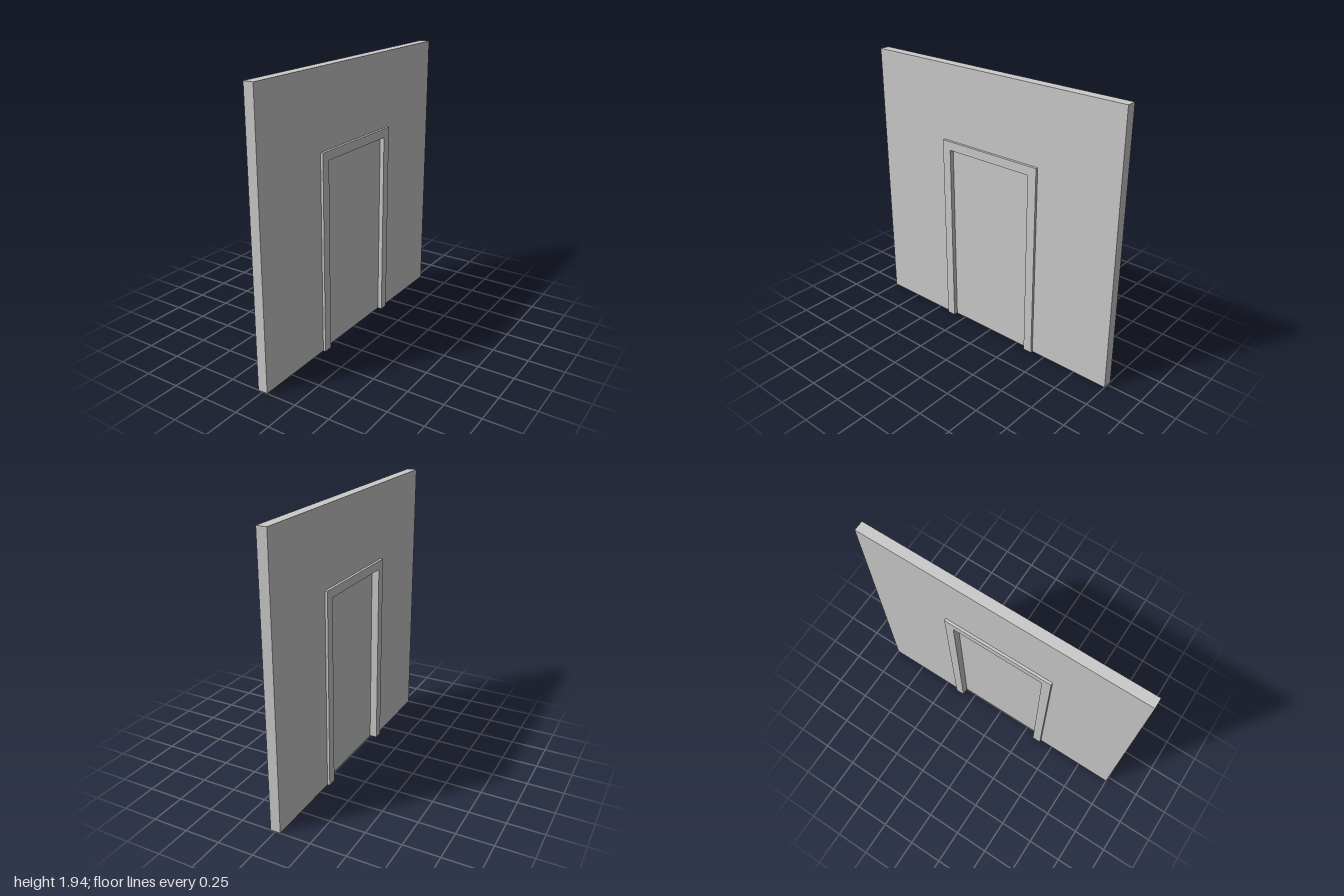
import * as THREE from 'three';

const material = new THREE.MeshStandardMaterial({ color: 0xcccccc, flatShading: true });

// Upright slab with a doorway open at the floor, spanning x0..x1 in thickness.
function archSlab(name, halfWidth, height, halfGap, gapHeight, x0, x1) {
  const shape = new THREE.Shape([
    [-halfWidth, 0], [-halfGap, 0], [-halfGap, gapHeight], [halfGap, gapHeight],
    [halfGap, 0], [halfWidth, 0], [halfWidth, height], [-halfWidth, height],
  ].map(([a, b]) => new THREE.Vector2(a, b)));
  const geometry = new THREE.ExtrudeGeometry(shape, { depth: x1 - x0, bevelEnabled: false });
  geometry.rotateY(Math.PI / 2).translate(x0, 0, 0);
  const mesh = new THREE.Mesh(geometry, material);
  mesh.name = name;
  return mesh;
}

export function createModel() {
  const model = new THREE.Group();
  model.name = 'wallWithDoor';

  const wallX = 0.035, trimX = 0.053;
  const openHalf = 0.335, openTop = 1.343;

  // Wall with its doorway
  model.add(archSlab('wall', 1, 1.938, 0.36, 1.368, -wallX, wallX));

  // Lining of the doorway, and a casing on both wall faces
  model.add(archSlab('doorLining', 0.36, 1.368, openHalf, openTop, -wallX, wallX));
  model.add(archSlab('casingRight', 0.4, 1.406, openHalf, openTop, -trimX, -wallX));
  model.add(archSlab('casingLeft', 0.4, 1.406, openHalf, openTop, wallX, trimX));

  // Plain door leaf, set nearer the +x face
  const door = new THREE.Mesh(new THREE.BoxGeometry(0.022, openTop, openHalf * 2), material);
  door.name = 'doorLeaf';
  door.position.set(0.011, openTop / 2, 0);
  model.add(door);

  return model;
}
